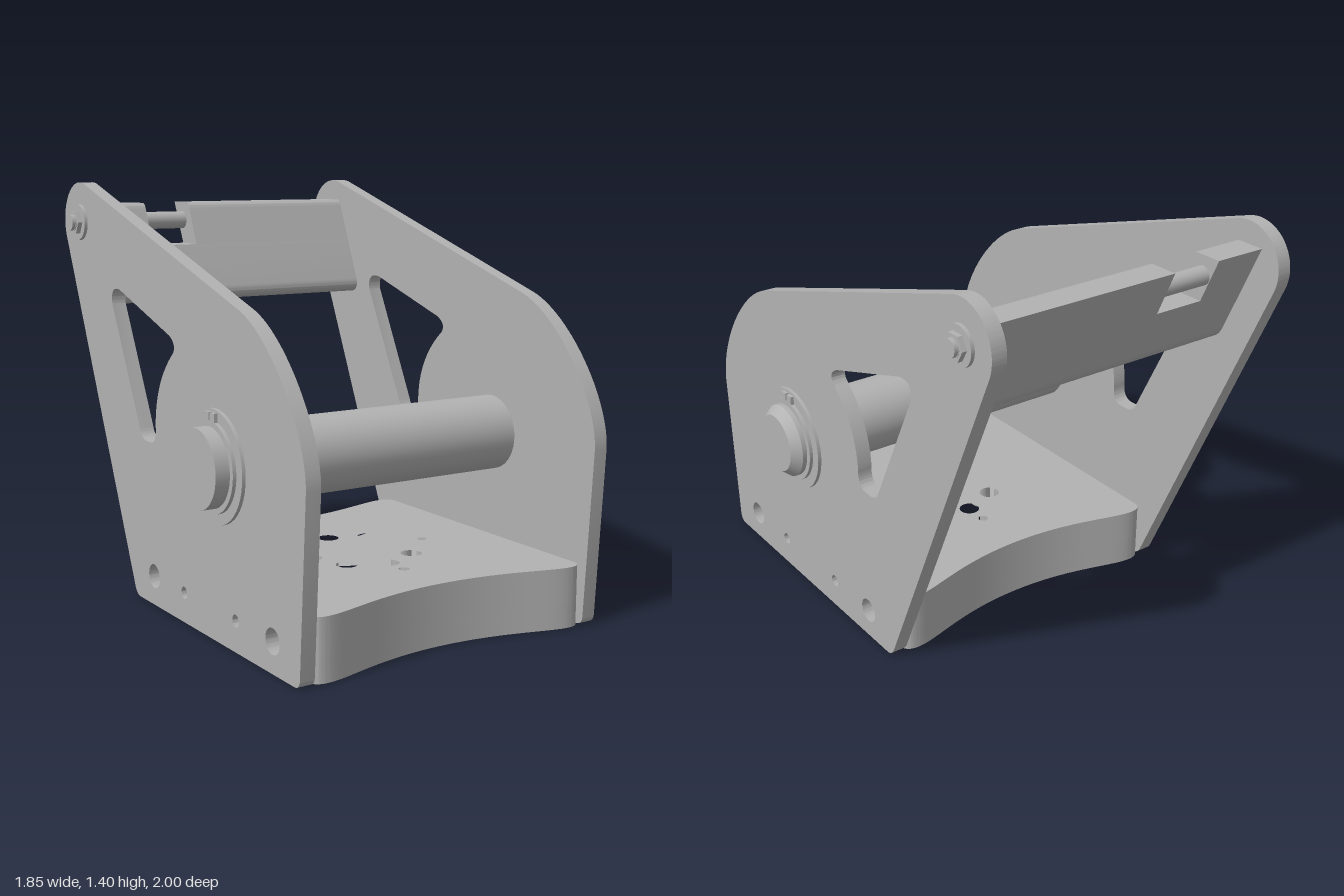
import * as THREE from 'three';
import { toCreasedNormals } from 'three/addons/utils/BufferGeometryUtils.js';

export function createModel() {
  const steel = new THREE.MeshStandardMaterial({ color: 0xb2b2b2 });
  steel.name = 'grey steel';
  const root = new THREE.Group();
  root.name = 'bracket';
  const body = new THREE.Group();
  body.name = 'bracketAssembly';
  body.rotation.y = 0.588;
  root.add(body);

  const add = (name, geometry) => {
    const mesh = new THREE.Mesh(geometry, steel);
    mesh.name = name;
    body.add(mesh);
    return mesh;
  };
  const circle = (x, y, r) => new THREE.Path().absarc(x, y, r, 0, Math.PI * 2, true);
  const extrude = (shape, depth) => new THREE.ExtrudeGeometry(shape,
    { depth, bevelEnabled: false, curveSegments: 24 });

  // Side profile drawn as (z, y), extruded from x0 to x1
  const sideExtrude = (name, shape, x0, x1) => {
    const g = extrude(shape, x1 - x0);
    g.rotateY(-Math.PI / 2);
    g.translate(x1, 0, 0);
    return add(name, toCreasedNormals(g, 0.5));
  };
  // Plan drawn as (x, -z), extruded from y0 to y1
  const planExtrude = (name, shape, y0, y1) => {
    const g = extrude(shape, y1 - y0);
    g.rotateX(-Math.PI / 2);
    g.translate(0, y0, 0);
    return add(name, toCreasedNormals(g, 0.5));
  };
  // Cylinder lying along x; r1 is the radius at x1
  const rod = (name, x0, x1, y, z, r0, r1 = r0, sides = 48) => {
    const g = new THREE.CylinderGeometry(r1, r0, x1 - x0, sides);
    g.rotateZ(-Math.PI / 2);
    g.translate((x0 + x1) / 2, y, z);
    return add(name, sides < 12 ? toCreasedNormals(g, 0.3) : g);
  };

  const SHAFT = { y: 0.56, z: 0.31 };
  const PIN = { y: 1.265, z: -0.69 };

  // Side plates with a window and four bolt holes
  const plate = new THREE.Shape();
  plate.moveTo(-0.25, 0);
  plate.lineTo(0.76, 0);
  plate.quadraticCurveTo(0.79, 0, 0.792, 0.03);
  plate.lineTo(0.825, 0.58);
  plate.bezierCurveTo(0.83, 0.74, 0.64, 0.99, 0.46, 1.05);
  plate.absarc(PIN.z, PIN.y, 0.14, 1.266, 3.56, false);
  plate.lineTo(-0.293, 0.03);
  plate.quadraticCurveTo(-0.28, 0, -0.25, 0);
  const win = new THREE.Path();
  win.moveTo(-0.432, 0.995);
  win.quadraticCurveTo(-0.445, 1.06, -0.37, 1.048);
  win.lineTo(0.0, 0.93);
  win.quadraticCurveTo(0.05, 0.905, 0.025, 0.875);
  win.quadraticCurveTo(-0.105, 0.77, -0.11, 0.62);
  win.quadraticCurveTo(-0.105, 0.56, -0.15, 0.557);
  win.lineTo(-0.185, 0.557);
  win.quadraticCurveTo(-0.22, 0.56, -0.232, 0.595);
  win.closePath();
  plate.holes.push(win);
  for (const side of [-1, 1]) {
    plate.holes.push(circle(0.25 + side * 0.39, 0.1, 0.041));
    plate.holes.push(circle(0.25 + side * 0.17, 0.1, 0.02));
  }
  sideExtrude('rightSidePlate', plate, -0.56, -0.51);
  sideExtrude('leftSidePlate', plate, 0.51, 0.56);

  // Base block with scooped ends, a bolt circle and a round recess below
  const baseOutline = () => {
    const s = new THREE.Shape();
    s.moveTo(-0.51, 0.25);
    s.quadraticCurveTo(-0.51, 0.29, -0.46, 0.29);
    s.bezierCurveTo(-0.38, 0.29, -0.24, 0.21, 0, 0.21);
    s.bezierCurveTo(0.24, 0.21, 0.38, 0.29, 0.46, 0.29);
    s.quadraticCurveTo(0.51, 0.29, 0.51, 0.25);
    s.lineTo(0.51, -0.74);
    s.quadraticCurveTo(0.51, -0.785, 0.46, -0.785);
    s.bezierCurveTo(0.38, -0.785, 0.24, -0.705, 0, -0.705);
    s.bezierCurveTo(-0.24, -0.705, -0.38, -0.785, -0.46, -0.785);
    s.quadraticCurveTo(-0.51, -0.785, -0.51, -0.74);
    s.closePath();
    for (let i = 0; i < 4; i++) {
      const a = i * Math.PI / 2;
      s.holes.push(circle(0.265 * Math.cos(a), -0.25 + 0.265 * Math.sin(a), 0.017));
    }
    return s;
  };
  const lower = baseOutline();
  lower.holes.push(circle(0, -0.25, 0.225));
  planExtrude('baseLower', lower, 0, 0.08);
  const upper = baseOutline();
  for (let i = 0; i < 8; i++) {
    const a = i * Math.PI / 4;
    upper.holes.push(circle(0.18 * Math.cos(a), -0.25 + 0.18 * Math.sin(a), 0.035));
  }
  planExtrude('baseUpper', upper, 0.08, 0.2);

  // Main shaft with a flat head at one end and a chamfered end at the other
  rod('shaft', -0.632, 0.6, SHAFT.y, SHAFT.z, 0.127);
  rod('shaftChamfer', 0.6, 0.632, SHAFT.y, SHAFT.z, 0.127, 0.1);

  // Tapered cross bar with a notch in its upper part
  const barLow = new THREE.Shape();
  barLow.moveTo(-0.688, 1.18);
  barLow.lineTo(-0.62, 1.03);
  barLow.quadraticCurveTo(-0.6, 0.98, -0.565, 0.98);
  barLow.quadraticCurveTo(-0.5, 0.98, -0.525, 1.04);
  barLow.lineTo(-0.583, 1.18);
  barLow.closePath();
  const barHigh = new THREE.Shape();
  barHigh.moveTo(-0.688, 1.18);
  barHigh.lineTo(-0.583, 1.18);
  barHigh.lineTo(-0.635, 1.31);
  barHigh.quadraticCurveTo(-0.643, 1.33, -0.66, 1.33);
  barHigh.lineTo(-0.755, 1.33);
  barHigh.closePath();
  sideExtrude('crossBarLower', barLow, -0.51, 0.51);
  sideExtrude('crossBarShortTop', barHigh, -0.51, -0.33);
  sideExtrude('crossBarLongTop', barHigh, -0.154, 0.51);
  rod('crossPin', -0.59, 0.59, PIN.y, PIN.z, 0.031, 0.031, 24);

  // Washers, retaining clips and pin fasteners on both outer faces
  for (const side of [-1, 1]) {
    const both = (name, a, b, p, r, sides) =>
      rod(name, Math.min(side * a, side * b), Math.max(side * a, side * b), p.y, p.z, r, r, sides);
    both('shaftWasher', 0.56, 0.572, SHAFT, 0.18);
    both('retainingClip', 0.572, 0.584, SHAFT, 0.145);
    for (const dz of [-0.018, 0.018]) {
      const lug = add('clipLug', new THREE.BoxGeometry(0.012, 0.04, 0.028));
      lug.position.set(side * 0.578, SHAFT.y + 0.15, SHAFT.z + dz);
    }
    both('pinWasher', 0.56, 0.572, PIN, 0.063);
    both('pinNut', 0.572, 0.588, PIN, 0.044, 6);
    both('pinEnd', 0.588, 0.602, PIN, 0.028, 24);
  }
  return root;
}
